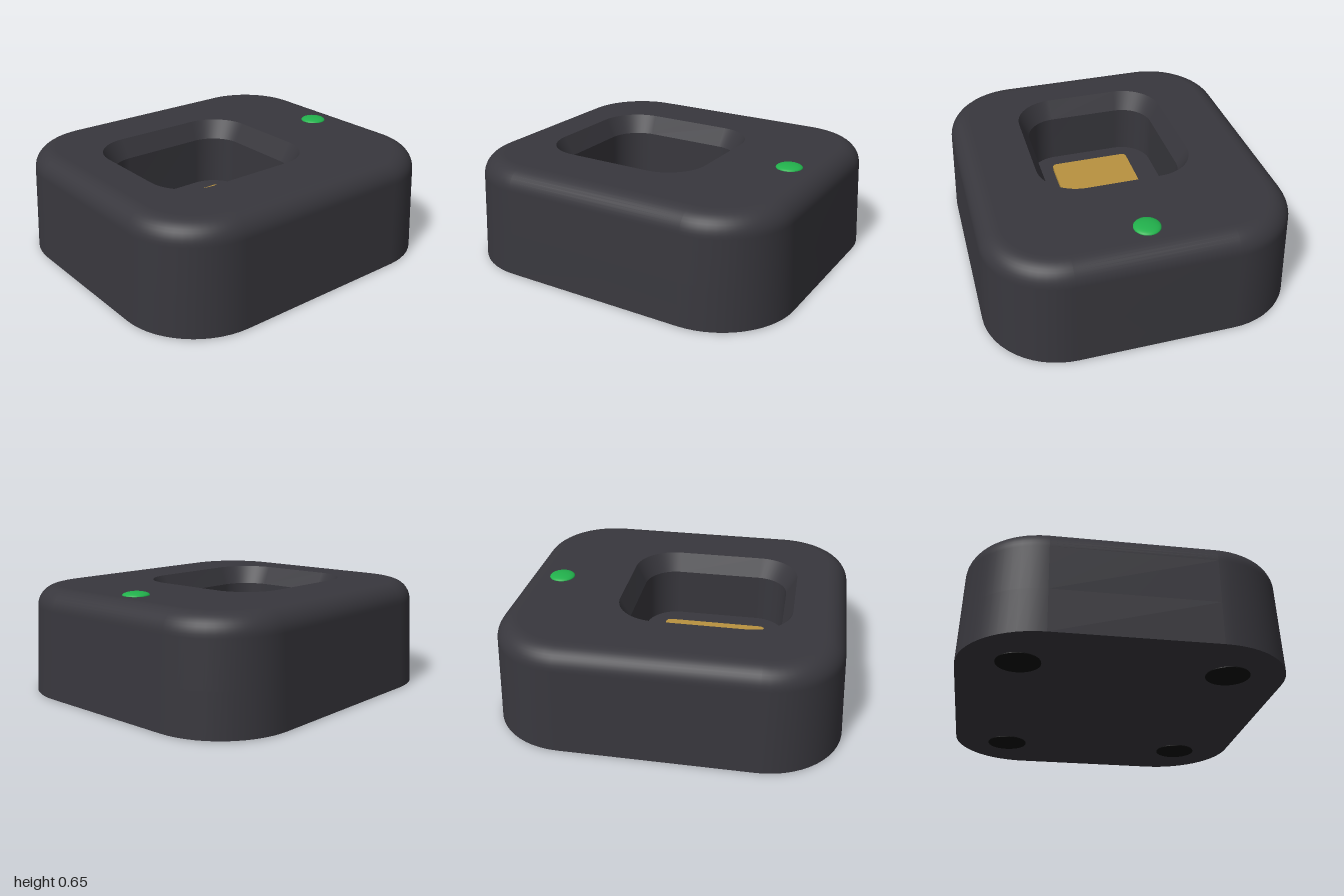
import * as THREE from 'three';

const TOP = 0.625, FLOOR = 0.22, WELL_X = -0.17, BASE = 0.004;
const CORNER_STEPS = 14;

// Rounded rectangle outline, anticlockwise: hx, hz half sizes, r corner radius
function outline(hx, hz, r, cx = 0) {
  const pts = [];
  for (let q = 0; q < 4; q++) {
    const sx = q === 0 || q === 3 ? 1 : -1, sy = q < 2 ? 1 : -1;
    for (let i = 0; i <= CORNER_STEPS; i++) {
      const a = (q + i / CORNER_STEPS) * Math.PI / 2;
      pts.push(new THREE.Vector2(cx + sx * (hx - r) + r * Math.cos(a), sy * (hz - r) + r * Math.sin(a)));
    }
  }
  return pts;
}

// Smooth skin through a stack of { pts, y } outlines; stacking downward faces it inward
function loft(rings) {
  const pos = [], idx = [], n = rings[0].pts.length;
  for (const { pts, y } of rings) for (const p of pts) pos.push(p.x, y, -p.y);
  for (let i = 0; i < rings.length - 1; i++) {
    for (let j = 0; j < n; j++) {
      const a = i * n + j, b = i * n + (j + 1) % n;
      idx.push(a, b, b + n, a, b + n, a + n);
    }
  }
  const g = new THREE.BufferGeometry();
  g.setAttribute('position', new THREE.Float32BufferAttribute(pos, 3));
  g.setIndex(idx);
  g.computeVertexNormals();
  return g;
}

// Flat horizontal face, optionally with a hole
function plate(pts, y, hole, down = false) {
  const s = new THREE.Shape(pts);
  if (hole) s.holes.push(new THREE.Path(hole));
  return new THREE.ShapeGeometry(s).rotateX(down ? Math.PI / 2 : -Math.PI / 2).translate(0, y, 0);
}

export function createModel() {
  const model = new THREE.Group();
  model.name = 'dock';
  const mat = (name, color) => {
    const m = new THREE.MeshStandardMaterial({ color });
    m.name = name;
    return m;
  };
  const charcoal = mat('charcoal', 0x38373d);
  const gold = mat('gold', 0xb8923f);
  const green = mat('green', 0x22b14c);
  const black = mat('black', 0x0c0c0c);
  const add = (name, geometry, material, parent = model) => {
    const m = new THREE.Mesh(geometry, material);
    m.name = name;
    parent.add(m);
    return m;
  };

  // Housing: tapered sides rolling over into the flat top
  const body = new THREE.Group();
  body.name = 'housing';
  model.add(body);
  const inset = (d) => outline(1 - d, 0.895 - d, 0.45 - d);
  const sides = [{ pts: inset(0), y: BASE }, { pts: inset(0.012), y: 0.25 }];
  const R = 0.118, START = 0.024;
  for (let i = 0; i <= 10; i++) {
    const a = i / 10 * Math.PI / 2;
    sides.push({ pts: inset(START + R * (1 - Math.cos(a))), y: TOP - R + R * Math.sin(a) });
  }
  const rim = inset(START + R + 0.004);
  sides.push({ pts: rim, y: TOP });
  add('sideWall', loft(sides), charcoal, body);

  // Well: sloped lip, straight wall and floor
  const lip = outline(0.5, 0.457, 0.24, WELL_X);
  const wall = outline(0.44, 0.4, 0.19, WELL_X);
  add('topFace', plate(rim, TOP, lip), charcoal, body);
  add('bottomFace', plate(inset(0), BASE, null, true), charcoal, body);
  add('wellLip', loft([{ pts: lip, y: TOP }, { pts: wall, y: TOP - 0.11 }]), charcoal, body);
  add('wellWall', loft([{ pts: wall, y: TOP - 0.11 }, { pts: wall, y: FLOOR }]), charcoal, body);
  add('wellFloor', plate(wall, FLOOR), charcoal, body);

  // Contact pad on the well floor
  const pad = new THREE.ExtrudeGeometry(new THREE.Shape(outline(0.315, 0.25, 0.03, WELL_X)),
    { depth: 0.025, bevelEnabled: false });
  add('contactPad', pad.rotateX(-Math.PI / 2).translate(0, FLOOR, 0), gold);

  // Shallow domed indicator light
  const dome = new THREE.SphereGeometry(0.076, 32, 10, 0, Math.PI * 2, 0, Math.PI / 2);
  add('indicatorLight', dome.scale(1, 0.27, 1).translate(0.745, TOP, 0), green);

  // Four round feet
  for (const x of [-0.63, 0.63]) for (const z of [-0.565, 0.565]) {
    add('foot', new THREE.CylinderGeometry(0.122, 0.122, 0.008, 32), black).position.set(x, 0.004, z);
  }
  return model;
}
